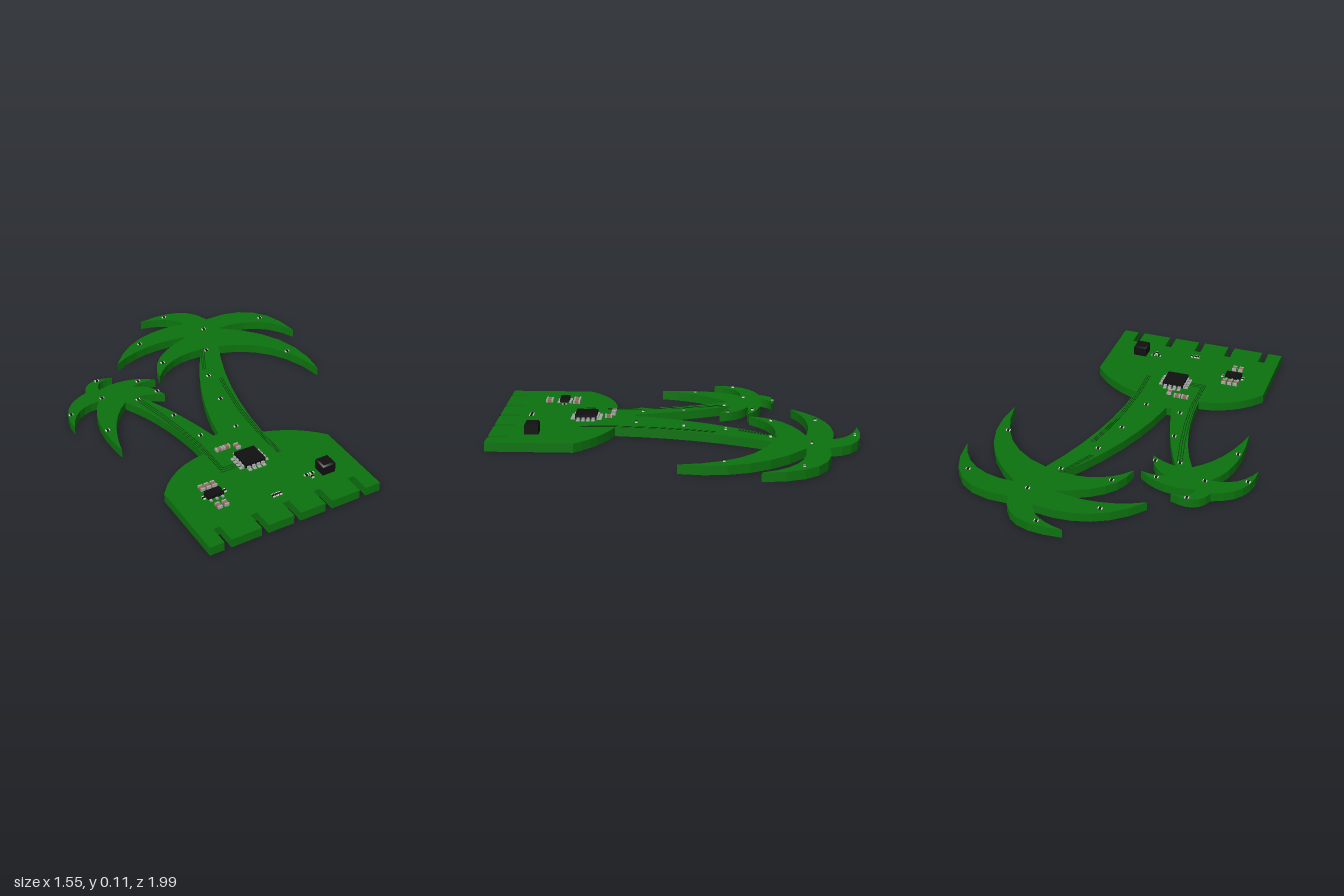
import * as THREE from 'three';

const TOP = 0.05; // board thickness
const material = (name, color, extra = {}) => {
  const m = new THREE.MeshStandardMaterial({ color, ...extra });
  m.name = name;
  return m;
};

export function createModel() {
  const model = new THREE.Group();
  model.name = 'palmTreeCircuitBoard';
  const green = material('boardGreen', 0x0d730f);
  const trace = material('traceGreen', 0x083a0a);
  const black = material('chipBlack', 0x101010);
  const silver = material('solderSilver', 0xa8a8a8);
  const tan = material('capacitorTan', 0x9a6a5c);
  const white = material('lensWhite', 0xd8d8cc);

  // Box standing on the board, placed by its centre in x and z
  const box = (parent, name, mat, x, z, w, h, d, lift = 0) => {
    const mesh = new THREE.Mesh(new THREE.BoxGeometry(w, h, d), mat);
    mesh.position.set(x, TOP + lift + h / 2, z);
    mesh.name = name;
    parent.add(mesh);
    return mesh;
  };
  const group = (name, x = 0, z = 0) => {
    const g = new THREE.Group();
    g.name = name;
    g.position.set(x, 0, z);
    model.add(g);
    return g;
  };

  // Board outline in x and z: notched foot, then arcs given as [mid x, mid z, end x, end z]
  const shape = new THREE.Shape();
  shape.moveTo(-0.62, -1);
  for (const x of [-0.52, -0.31, -0.125, 0.06, 0.265]) {
    shape.lineTo(x - 0.019, -1);
    shape.lineTo(x - 0.019, -0.89);
    shape.lineTo(x + 0.019, -0.89);
    shape.lineTo(x + 0.019, -1);
  }
  shape.lineTo(0.37, -1);
  shape.lineTo(0.37, -0.53);
  const arcs = (list) => list.forEach(([mx, mz, ex, ez]) => {
    const a = shape.currentPoint;
    shape.quadraticCurveTo(2 * mx - (a.x + ex) / 2, -2 * mz - (a.y - ez) / 2, ex, -ez);
  });
  // Right shoulder and large palm
  arcs([
    [0.245, 0.415, 0.08, 0.335],
    [0.147, -0.105, 0.295, -0.515],
    [0.555, -0.345, 0.675, -0.03],
    [0.645, -0.395, 0.395, -0.69],
    [0.635, -0.635, 0.775, -0.45],
    [0.67, -0.74, 0.38, -0.815],
    [0.27, -0.965, 0.02, -0.985],
    [0.165, -0.93, 0.235, -0.84],
    [-0.07, -0.82, -0.305, -0.64],
    [-0.075, -0.715, 0.18, -0.7],
    [-0.06, -0.58, -0.155, -0.4],
    [-0.005, -0.515, 0.19, -0.535],
    [-0.02, -0.155, -0.135, 0.235],
  ]);
  shape.lineTo(-0.165, -0.235);
  // Small palm and left shoulder
  arcs([
    [-0.245, -0.05, -0.35, -0.29],
    [-0.28, -0.272, -0.21, -0.235],
    [-0.255, -0.335, -0.335, -0.39],
    [-0.262, -0.4, -0.19, -0.39],
    [-0.34, -0.465, -0.51, -0.455],
    [-0.475, -0.52, -0.395, -0.53],
    [-0.52, -0.545, -0.59, -0.465],
    [-0.735, -0.37, -0.775, -0.2],
    [-0.69, -0.32, -0.56, -0.355],
    [-0.645, -0.165, -0.645, 0.11],
    [-0.565, -0.12, -0.435, -0.275],
    [-0.33, 0.01, -0.29, 0.35],
    [-0.475, 0.405, -0.62, 0.535],
  ]);
  const boardGeometry = new THREE.ExtrudeGeometry(shape, { depth: TOP, bevelEnabled: false, curveSegments: 6 });
  boardGeometry.rotateX(-Math.PI / 2);
  const board = new THREE.Mesh(boardGeometry, green);
  board.name = 'board';
  model.add(board);

  // Copper traces: bundles of thin parallel strips
  const traces = group('traces');
  const bundle = (points, count, dx, dz) => {
    for (let i = 0; i < count; i++) {
      for (let k = 1; k < points.length; k++) {
        const [ax, az] = points[k - 1], [bx, bz] = points[k];
        const strip = box(traces, 'trace', trace, (ax + bx) / 2 + i * dx, (az + bz) / 2 + i * dz,
          0.003, 0.001, Math.hypot(bx - ax, bz - az));
        strip.rotation.y = Math.atan2(bx - ax, bz - az);
      }
    }
  };
  bundle([[-0.17, 0.53], [-0.282, 0.53], [-0.28, 0.33], [-0.3, 0.13], [-0.33, -0.05], [-0.37, -0.24]], 3, 0.01, -0.015);
  bundle([[0.075, 0.53], [0.072, 0.33], [0.09, 0.1], [0.12, -0.08], [0.15, -0.22]], 3, -0.01, 0);
  bundle([[0.09, -0.34], [0.14, -0.44], [0.19, -0.54]], 3, 0.01, 0);

  // Main processor with pins on all four sides
  const processor = group('processor', -0.105, 0.508);
  box(processor, 'processorBody', black, 0, 0, 0.12, 0.024, 0.12, 0.006);
  for (let side = 0; side < 4; side++) {
    const row = new THREE.Group();
    row.name = 'pinRow';
    row.rotation.y = side * Math.PI / 2;
    processor.add(row);
    for (let i = 0; i < 4; i++) {
      const x = (i - 1.5) * 0.028;
      box(row, 'pinFoot', silver, x, 0.077, 0.018, 0.005, 0.018);
      box(row, 'pinShoulder', silver, x, 0.065, 0.018, 0.016, 0.01);
    }
  }

  // Small driver chip
  const driver = group('driverChip', -0.41, 0.668);
  box(driver, 'driverBody', black, 0, 0, 0.09, 0.02, 0.052, 0.005);
  for (const s of [-1, 1]) {
    for (let i = -1; i <= 1; i++) box(driver, 'driverPin', silver, i * 0.034, s * 0.031, 0.012, 0.008, 0.018);
  }

  // Tan capacitors with silver end caps
  const capacitor = (x, z, across = false, w = 0.024) => {
    const g = group('capacitor', x, z);
    if (across) g.rotation.y = Math.PI / 2;
    box(g, 'capacitorBody', tan, 0, 0, w, 0.015, 0.022);
    for (const s of [-1, 1]) box(g, 'capacitorEnd', silver, 0, s * 0.015, w + 0.001, 0.016, 0.009);
  };
  for (const x of [-0.44, -0.406, -0.372]) capacitor(x, 0.597);
  for (const x of [-0.432, -0.394]) capacitor(x, 0.757);
  for (const x of [-0.205, -0.16]) capacitor(x, 0.362, true);
  capacitor(-0.108, 0.385);

  // Push button: square body with a narrowed top
  const button = group('button', 0.188, 0.772);
  box(button, 'buttonBody', black, 0, 0, 0.075, 0.05, 0.075);
  const cap = new THREE.Mesh(new THREE.CylinderGeometry(0.046, 0.053, 0.01, 4, 1).rotateY(Math.PI / 4), black);
  cap.position.y = TOP + 0.055;
  cap.name = 'buttonTop';
  button.add(cap);

  // Tiny black resistors with bright ends
  const chipPart = (name, x, z, angle) => {
    const g = group(name, x, z);
    g.rotation.y = angle;
    box(g, 'partBody', black, 0, 0, 0.012, 0.007, 0.014);
    for (const s of [-1, 1]) box(g, 'partEnd', white, s * 0.009, 0, 0.006, 0.006, 0.014);
  };
  [[-0.466, 0.665], [-0.345, 0.665], [0.098, 0.79], [-0.155, 0.822], [-0.135, 0.822], [-0.115, 0.822]]
    .forEach(([x, z]) => chipPart('resistor', x, z, Math.PI / 2));
  for (const x of [0.078, 0.112]) chipPart('resistor', x, 0.765, 0);

  // Indicator lights scattered over trunks and fronds
  [
    [0.165, -0.96], [-0.1, -0.765], [0.31, -0.722], [0.67, -0.665], [-0.075, -0.52],
    [0.21, -0.51], [0.09, -0.27], [0.615, -0.265], [0.035, -0.04], [-0.02, 0.225],
    [-0.225, 0.2], [-0.262, -0.03], [-0.365, -0.26], [-0.533, -0.372], [-0.747, -0.31],
    [-0.635, -0.085], [-0.485, -0.54], [-0.285, -0.42], [-0.235, -0.28],
  ].forEach(([x, z]) => chipPart('indicatorLight', x, z, 0));

  return model;
}
